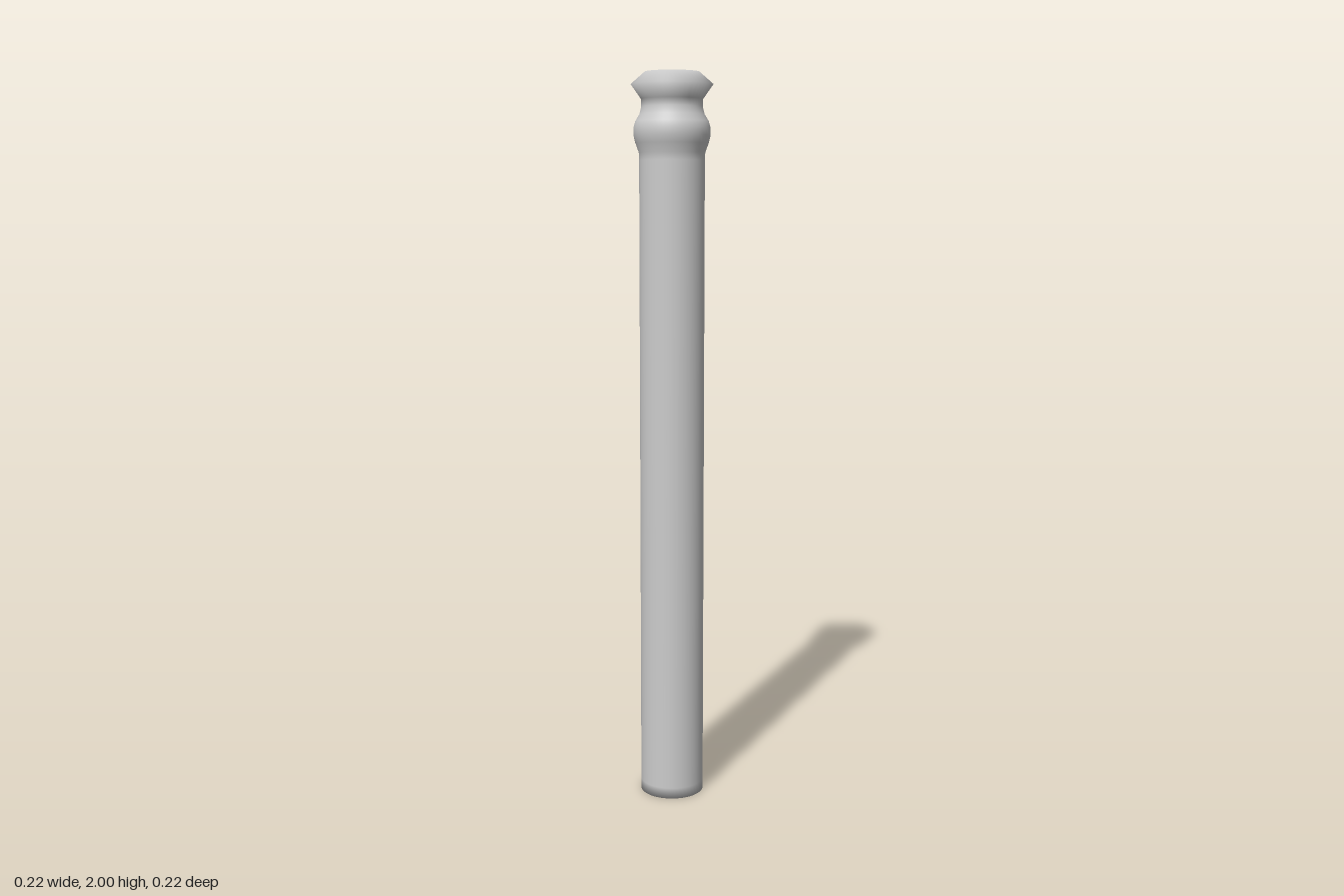
import * as THREE from 'three';

export function createModel() {
  const group = new THREE.Group();
  const material = new THREE.MeshStandardMaterial({ color: 0xcccccc });

  // Turned profile from the base centre up to the top centre: [radius, height]
  const profile = [
    [0, 0], [0.088, 0], [0.088, 0.03],            // base
    [0.088, 1.77], [0.089, 1.79],                 // shaft
    [0.098, 1.815], [0.103, 1.835], [0.103, 1.855], // rounded collar
    [0.098, 1.872], [0.087, 1.89], [0.082, 1.91], // neck
    [0.083, 1.93], [0.11, 1.968],                 // flared rim
    [0.073, 2], [0, 2],                           // bevelled cap
  ].map(([r, y]) => new THREE.Vector2(r, y));

  const post = new THREE.Mesh(new THREE.LatheGeometry(profile, 48), material);
  post.name = 'turnedPost';
  group.add(post);
  return group;
}
